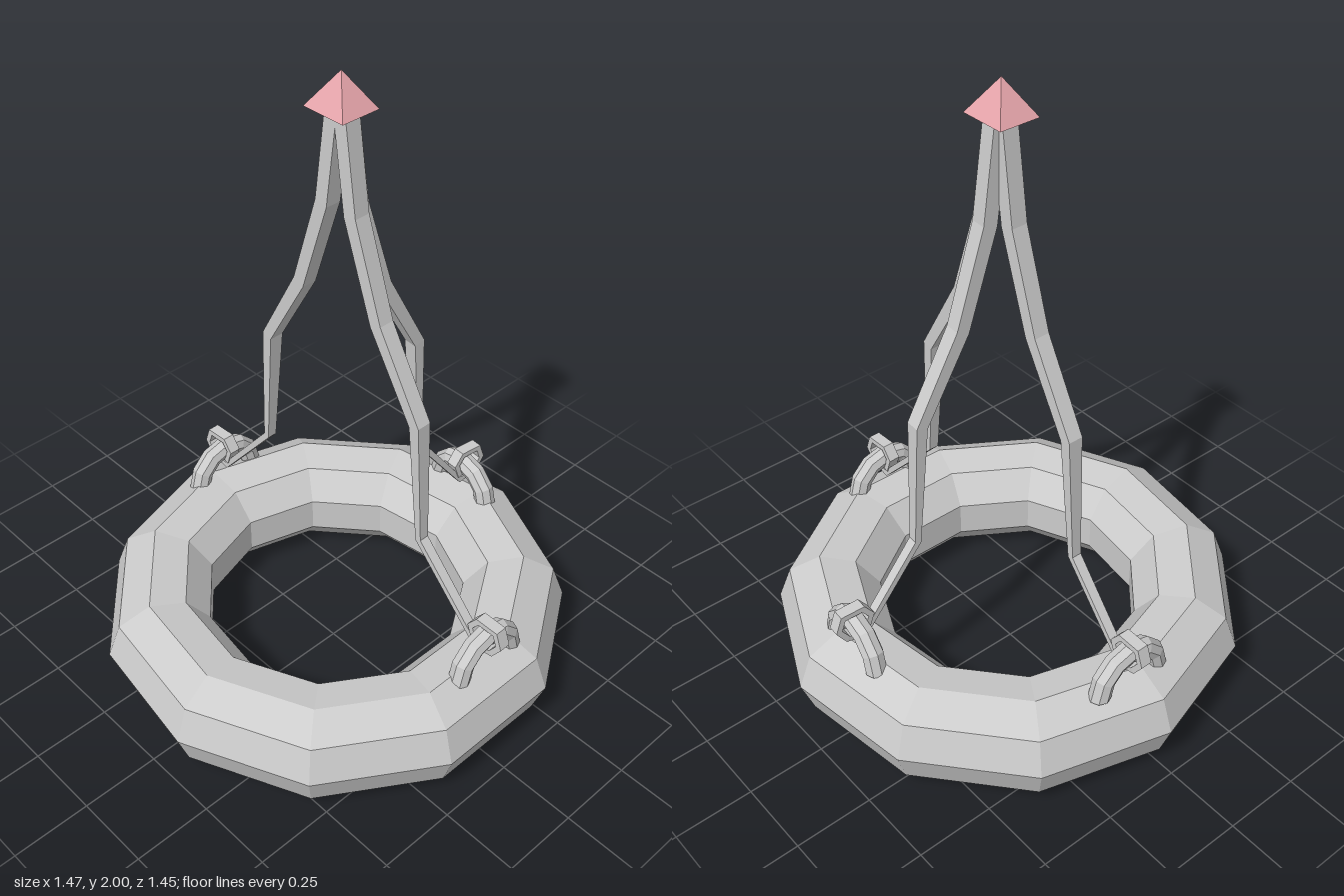
import * as THREE from 'three';

const grey = new THREE.MeshStandardMaterial({ color: 0xcccccc, flatShading: true });
const pink = new THREE.MeshStandardMaterial({ color: 0xe6a5ab, flatShading: true });

function add(parent, name, geometry, material = grey) {
  const mesh = new THREE.Mesh(geometry, material);
  mesh.name = name;
  parent.add(mesh);
  return mesh;
}

// Rectangular strap swept along stations [x, y, thickness, width] in the XY plane
function strapGeometry(stations) {
  const positions = [], index = [];
  const pts = stations.map(([x, y]) => new THREE.Vector2(x, y));
  const last = pts.length - 1;
  stations.forEach(([x, y, thick, width], i) => {
    const a = pts[i].clone().sub(pts[Math.max(i - 1, 0)]).normalize();
    const b = pts[Math.min(i + 1, last)].clone().sub(pts[i]).normalize();
    const t = a.clone().add(b).normalize();
    const miter = thick / 2 / Math.max(0.7, t.dot(i < last ? b : a));
    const nx = -t.y * miter, ny = t.x * miter, h = width / 2;
    positions.push(x + nx, y + ny, h, x - nx, y - ny, h, x - nx, y - ny, -h, x + nx, y + ny, -h);
    if (i === last) return;
    for (let k = 0; k < 4; k++) {
      const p = i * 4 + k, q = i * 4 + (k + 1) % 4;
      index.push(p, q, q + 4, p, q + 4, p + 4);
    }
  });
  const e = last * 4;
  index.push(0, 2, 1, 0, 3, 2, e, e + 1, e + 2, e, e + 2, e + 3);
  const g = new THREE.BufferGeometry();
  g.setAttribute('position', new THREE.Float32BufferAttribute(positions, 3));
  g.setIndex(index);
  const flat = g.toNonIndexed();
  flat.computeVertexNormals();
  return flat;
}

// One rope with its half-ring anchor, built along local +x
function createArm(name, angle, anchor, scale) {
  const arm = new THREE.Group();
  arm.name = name;
  arm.position.set(0.047, 0, -0.02);
  arm.rotation.y = angle;

  const half = add(arm, 'anchorRing', new THREE.TorusGeometry(0.111, 0.034, 8, 6, Math.PI));
  half.rotation.y = Math.PI / 2;
  half.position.set(anchor, 0.31, 0);

  const rope = [
    [0.01, 1.93, 0.045, 0.052], [0.052, 1.6, 0.045, 0.052], [0.145, 1.3, 0.042, 0.05],
    [0.287, 1.035, 0.036, 0.048], [0.313, 0.625, 0.02, 0.032],
  ].map(([x, y, t, w]) => [x * scale, y, t, w]);

  // Eye wrapped around the anchor ring
  const eye = [
    [-0.025, 0.365], [0.035, 0.382], [0.062, 0.422], [0.046, 0.467],
    [-0.022, 0.47], [-0.048, 0.435], [-0.03, 0.385],
  ].map(([x, y], i) => [anchor + x, y, 0.018, i ? 0.038 : 0.03]);

  add(arm, 'rope', strapGeometry([...rope, ...eye]));
  return arm;
}

export function createModel() {
  const model = new THREE.Group();
  model.name = 'hangingRing';

  // Faceted floating ring
  const ring = new THREE.TorusGeometry(0.572, 0.169, 9, 11);
  ring.rotateZ(Math.PI / 2).rotateX(-Math.PI / 2);
  add(model, 'ring', ring).position.set(0, 0.167, 0.007);

  // Three ropes: left, back and front
  model.add(createArm('leftArm', -0.074, 0.535, 1));
  model.add(createArm('backArm', Math.PI / 2, 0.568, 1.04));
  model.add(createArm('frontArm', -Math.PI / 2 + 0.01, 0.615, 1.1));

  // Pyramid cap
  const cap = new THREE.ConeGeometry(Math.SQRT2, 0.105, 4);
  cap.rotateY(Math.PI / 4).scale(0.065, 1, 0.074);
  add(model, 'cap', cap, pink).position.set(0.045, 1.9475, -0.021);

  return model;
}
